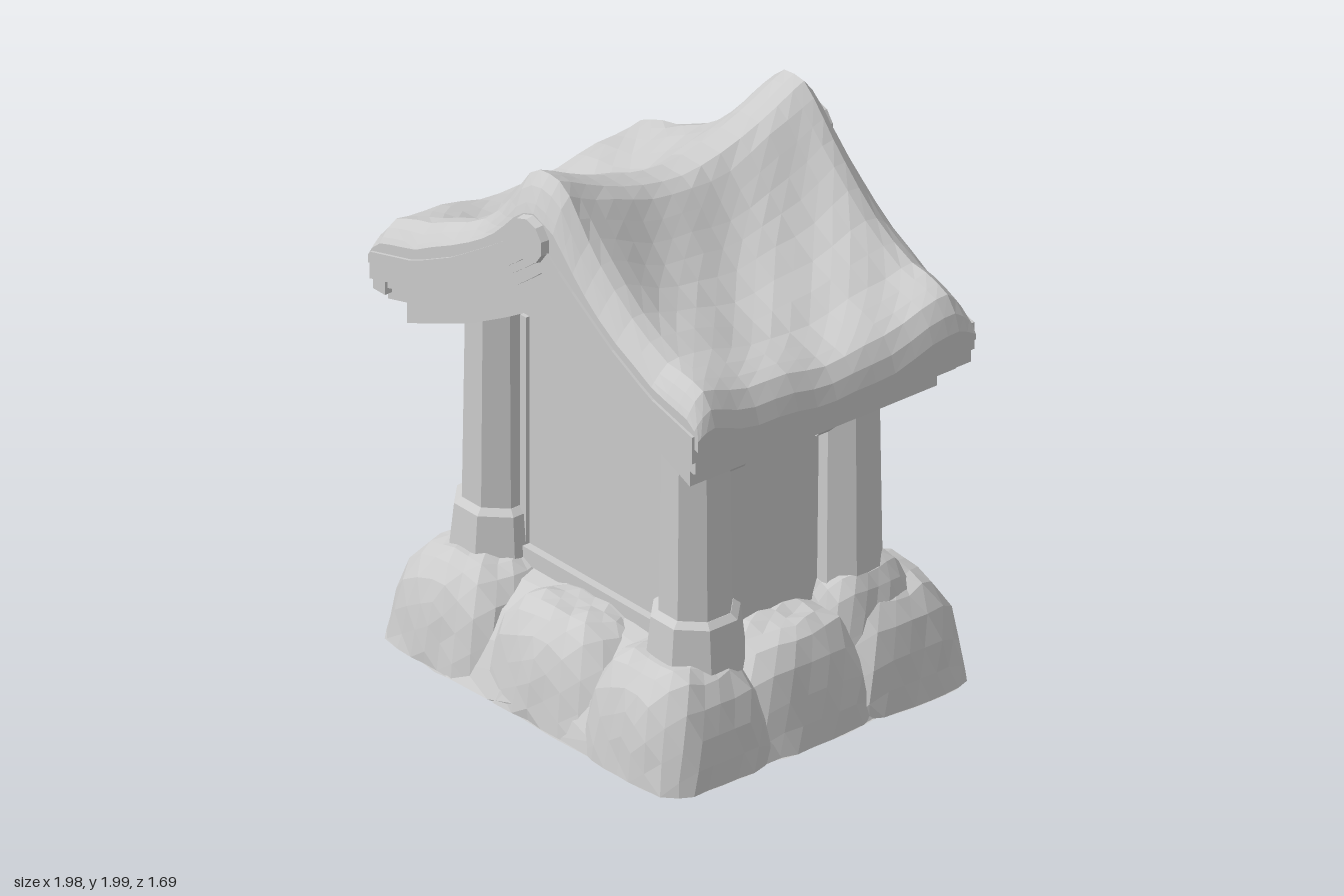
import * as THREE from 'three';

const stone = new THREE.MeshStandardMaterial({ color: 0xcccccc, flatShading: true });
stone.name = 'pale stone';

// Piecewise-linear lookup, mirrored about zero
function curve(table, u) {
  const a = Math.abs(u);
  for (let i = 1; i < table.length; i++) {
    const [x0, y0] = table[i - 1], [x1, y1] = table[i];
    if (a <= x1) return y0 + (y1 - y0) * (a - x0) / (x1 - x0);
  }
  return table[table.length - 1][1];
}
const ROOF_TOP = [[0, 2], [0.05, 1.995], [0.1, 1.96], [0.2, 1.845], [0.3, 1.745], [0.42, 1.66], [0.6, 1.565], [0.72, 1.53], [0.78, 1.505], [0.82, 1.45], [0.84, 1.39]];
const ROOF_BOTTOM = [[0, 1.74], [0.1, 1.68], [0.2, 1.61], [0.4, 1.48], [0.6, 1.39], [0.84, 1.33]];
const BOARD = [[0, 1.72], [0.1, 1.64], [0.2, 1.57], [0.4, 1.44], [0.6, 1.34], [0.83, 1.28]];
const SOFFIT = [[0, 1.5], [0.2, 1.375], [0.4, 1.265], [0.6, 1.18], [0.72, 1.13]];

const wobble = (x, y, z, s) =>
  Math.sin(7 * x + 3 * z + s) * Math.cos(6 * y + 5 * z - 2 * s) + 0.6 * Math.sin(13 * z - 11 * x + 9 * y + 3 * s);

export function createModel() {
  const root = new THREE.Group();
  root.name = 'stoneShrine';
  const shrine = new THREE.Group();
  shrine.name = 'shrine';
  shrine.rotation.y = -0.335;
  root.add(shrine);

  function add(name, geo, x = 0, y = 0, z = 0) {
    const m = new THREE.Mesh(geo, stone);
    m.name = name;
    m.position.set(x, y, z);
    shrine.add(m);
    return m;
  }
  const box = (name, w, h, d, x, y, z) => add(name, new THREE.BoxGeometry(w, h, d), x, y, z);
  function octagon(name, r0, r1, h, x, y, z) {
    add(name, new THREE.CylinderGeometry(r0, r1, h, 8), x, y, z).rotation.y = Math.PI / 8;
  }

  // Boulder: half of a blocky ellipsoid, flat on the ground
  function rock(name, x, z, w, h, d, seed, y0 = 0) {
    const g = new THREE.IcosahedronGeometry(1, 4), p = g.attributes.position;
    for (let i = 0; i < p.count; i++) {
      const a = p.getX(i), b = p.getY(i), c = p.getZ(i);
      const k = Math.pow(a ** 4 + b ** 4 + c ** 4, -0.25) * (1 + 0.022 * wobble(a, b, c, seed));
      const y = Math.max(0, b * k), t = 1 - 0.2 * y;
      p.setXYZ(i, a * k * w * t, y * h, c * k * d * t);
    }
    g.computeVertexNormals();
    add(name, g, x, y0, z);
  }

  // Stone footing: a broad core ringed by overlapping boulders
  rock('footingCore', 0, 0.07, 0.76, 0.355, 0.58, 2);
  [[-0.48, 0.4, 0.29, 0.365, 0.26], [0.03, 0.4, 0.33, 0.36, 0.25], [0.5, 0.4, 0.28, 0.375, 0.26],
    [-0.5, 0, 0.27, 0.37, 0.3], [0.5, 0, 0.27, 0.39, 0.3],
    [-0.49, -0.42, 0.27, 0.38, 0.265], [0.5, -0.42, 0.28, 0.4, 0.265]]
    .forEach(([x, z, w, h, d], i) => rock('footingBoulder', x, z, w, h, d, i * 1.7));

  // Entrance steps
  for (let i = 0; i < 3; i++) {
    const front = 0.655 - i * 0.09, top = 0.105 + i * 0.115;
    box('step', 0.52, top, front - 0.2, 0, top / 2, -(front + 0.2) / 2);
  }
  box('floor', 0.9, 0.06, 0.7, 0, 0.36, 0);

  // Corner posts on stone bases
  for (const sx of [-1, 1]) for (const sz of [-1, 1]) {
    const x = sx * 0.5, z = sz * 0.32;
    octagon('post', 0.116, 0.13, 0.92, x, 0.86, z);
    if (sz > 0) {
      octagon('postBase', 0.155, 0.175, 0.18, x, 0.41, z);
      octagon('postBaseTop', 0.13, 0.155, 0.02, x, 0.51, z);
    } else rock('postBaseBoulder', x, -0.34, 0.19, 0.26, 0.19, sx + 4, 0.23);
    // Beam end under the eaves
    const end = new THREE.Shape([[0, 0.14], [0, 0], [0.05, 0], [0.1, 0.06], [0.1, 0.14]].map(p => new THREE.Vector2(...p)));
    const beam = add('beamEnd', new THREE.ExtrudeGeometry(end, { depth: 0.07, bevelEnabled: false }),
      x, 1, sz * 0.19 + (sx < 0 ? 0.035 : -0.035));
    if (sx < 0) beam.rotation.y = Math.PI;
  }

  // Walls: closed front with gable, plain sides, open back
  const v2 = list => list.map(([x, y]) => new THREE.Vector2(x, y));
  const slab = (name, pts, depth, z) =>
    add(name, new THREE.ExtrudeGeometry(new THREE.Shape(v2(pts)), { depth, bevelEnabled: false }), 0, 0, z);
  slab('frontWall', [[-0.46, 0.36], [0.46, 0.36], [0.46, 1.28], [0, 1.58], [-0.46, 1.28]], 0.27, 0.05);
  slab('backGable', [[-0.46, 1.2], [0.46, 1.2], [0.46, 1.28], [0, 1.58], [-0.46, 1.28]], 0.05, -0.31);
  box('lintel', 0.8, 0.11, 0.1, 0, 1.21, -0.3);
  box('ceiling', 0.9, 0.04, 0.6, 0, 1.2, 0);
  for (const s of [-1, 1]) {
    box('sideWall', 0.07, 0.86, 0.6, s * 0.465, 0.79, 0);
    box('doorJamb', 0.1, 0.82, 0.08, s * 0.38, 0.78, -0.18);
    box('frontWallEdge', 0.03, 0.88, 0.03, s * 0.36, 0.8, 0.32);
  }

  // Arched niche with pointed relief on the inner wall
  add('nicheArch', new THREE.TorusGeometry(0.2, 0.025, 6, 16, Math.PI), 0, 0.8, 0.04);
  for (const s of [-1, 1]) box('nicheSide', 0.05, 0.42, 0.05, s * 0.2, 0.59, 0.04);
  [[-0.1, 0.2], [-0.05, 0.3], [0.01, 0.24], [0.06, 0.34], [0.11, 0.18]].forEach(([x, h]) =>
    add('nicheRelief', new THREE.ConeGeometry(0.035, h, 4), x, 0.39 + h / 2, 0.04));

  // Stepped boards under the roof
  const us = w => Array.from({ length: 25 }, (_, i) => (i / 12 - 1) * w);
  function board(name, w, low, high, depth, z) {
    const u = us(w);
    slab(name, [...u.map(x => [x, low(x)]), ...u.reverse().map(x => [x, high(x)])], depth, z);
  }
  const c = x => curve(BOARD, x);
  for (const z of [-0.605, 0.525]) {
    board('gableFascia', 0.82, c, x => c(x) + 0.1, 0.08, z);
    board('gableTrim', 0.79, x => c(x) - 0.035, x => c(x) + 0.03, 0.06, z < 0 ? -0.58 : 0.52);
  }
  board('roofBoard', 0.78, x => c(x) - 0.085, x => c(x) + 0.02, 1.12, -0.56);
  board('soffitBoard', 0.72, x => curve(SOFFIT, x), x => c(x) - 0.07, 1.06, -0.53);
  for (const s of [-1, 1]) {
    box('eaveFascia', 0.06, 0.09, 1.18, s * 0.79, 1.285, 0);
    const boss = add('gableBoss', new THREE.CylinderGeometry(0.08, 0.095, 0.1, 10), 0, 1.78, s * 0.575);
    boss.rotation.x = s * Math.PI / 2;
  }

  // Saddle-shaped roof, lofted from front-to-back sections
  const half = [0, 0.05, 0.1, 0.15, 0.2, 0.26, 0.33, 0.42, 0.51, 0.6, 0.67, 0.73, 0.78, 0.82, 0.84];
  const u = [...half.slice(1).reverse().map(x => -x), ...half];
  const n = u.length, ring = 2 * n, pos = [], idx = [];
  const stations = [0, 0.14, 0.28, 0.42, 0.56, 0.69, 0.8, 0.88, 0.94, 0.98, 1];
  const ss = [...stations.slice(1).reverse().map(s => -s), ...stations];
  for (const s of ss) {
    const a = Math.abs(s), sag = 1 - Math.min(1, a / 0.88) ** 1.7;
    const bottom = x => curve(ROOF_BOTTOM, x) - 0.06 * sag * Math.abs(x) / 0.84;
    const top = x => {
      const w = Math.abs(x);
      // Gable ends round off earlier on the slopes than at ridge and corners
      const start = 0.85 - 0.13 * Math.max(0, Math.sin((w - 0.12) / 0.56 * Math.PI));
      const round = 1 - 0.5 * Math.max(0, (a - start) / (1 - start)) ** 2;
      const t = curve(ROOF_TOP, x) - sag * (0.18 - 0.11 * w / 0.84);
      const rough = w > 0.06 ? 0.011 * wobble(x * 1.3, 0, s * 0.9, 1) : 0;
      return bottom(x) + (t - bottom(x)) * round + rough;
    };
    const z = s * 0.595;
    u.forEach(x => pos.push(x, top(x), z));
    [...u].reverse().forEach(x => pos.push(x, bottom(x), z));
  }
  for (let j = 0; j < ss.length - 1; j++) for (let k = 0; k < ring; k++) {
    const a = j * ring + k, b = j * ring + (k + 1) % ring;
    idx.push(a, a + ring, b + ring, a, b + ring, b);
  }
  const last = (ss.length - 1) * ring;
  for (let i = 0; i < n - 1; i++) {
    const t0 = i, t1 = i + 1, b0 = ring - 1 - i, b1 = ring - 2 - i;
    idx.push(last + t0, last + b0, last + b1, last + t0, last + b1, last + t1);
    idx.push(t0, b1, b0, t0, t1, b1);
  }
  const roof = new THREE.BufferGeometry();
  roof.setAttribute('position', new THREE.Float32BufferAttribute(pos, 3));
  roof.setIndex(idx);
  roof.computeVertexNormals();
  add('roof', roof);

  return root;
}
